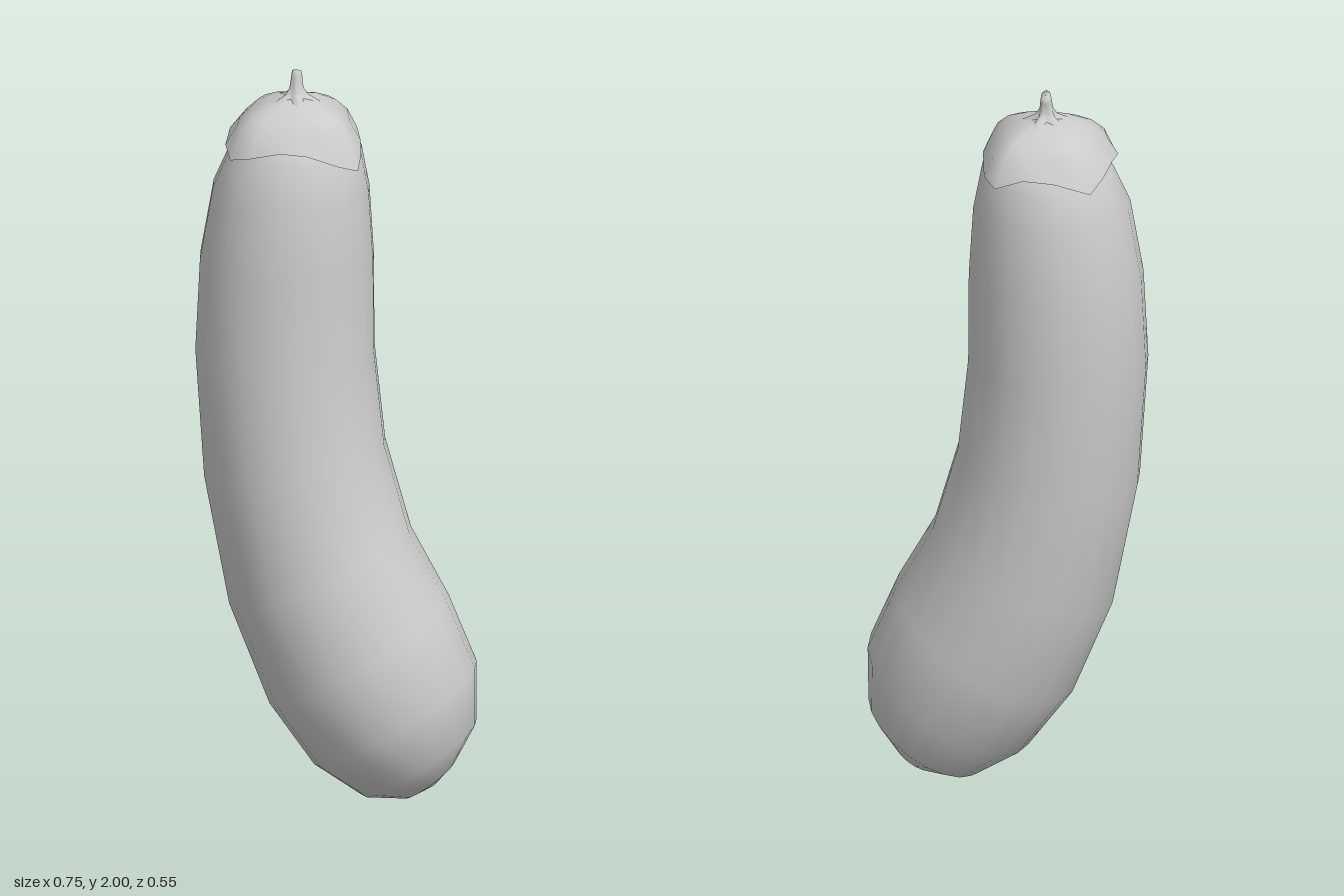
import * as THREE from 'three';

const material = new THREE.MeshStandardMaterial({ color: 0xcccccc, side: THREE.DoubleSide });

// Smooth closed skin over rings of points, listed from top to bottom
function loft(name, rings) {
  const n = rings[0].length;
  const index = [];
  for (let i = 0; i < rings.length - 1; i++) {
    for (let j = 0; j < n; j++) {
      const k = (j + 1) % n;
      const a = i * n + j, b = i * n + k, c = a + n, d = b + n;
      index.push(a, b, c, b, d, c);
    }
  }
  const geometry = new THREE.BufferGeometry();
  geometry.setAttribute('position', new THREE.Float32BufferAttribute(rings.flat(2), 3));
  geometry.setIndex(index);
  geometry.computeVertexNormals();
  const mesh = new THREE.Mesh(geometry, material);
  mesh.name = name;
  return mesh;
}

// Ring of n points built by a rule of the angle
const ring = (n, rule) => Array.from({ length: n }, (_, j) => rule((j / n) * Math.PI * 2));

// Curved fruit: each slice is tilted, given by its left and right ends, z centre and z radius
function createBody() {
  const slices = [
    [-0.115, 1.9, -0.105, 1.9, -0.04, 0.005],
    [-0.21, 1.87, -0.01, 1.87, -0.042, 0.1],
    [-0.255, 1.825, 0.035, 1.825, -0.042, 0.145],
    [-0.287, 1.78, 0.063, 1.78, -0.04, 0.175],
    [-0.33, 1.68, 0.085, 1.67, -0.033, 0.207],
    [-0.365, 1.48, 0.097, 1.48, -0.032, 0.225],
    [-0.376, 1.23, 0.1, 1.23, -0.025, 0.233],
    [-0.35, 0.88, 0.13, 0.97, -0.015, 0.242],
    [-0.28, 0.53, 0.2, 0.73, -0.005, 0.26],
    [-0.17, 0.26, 0.3, 0.55, 0, 0.275],
    [-0.05, 0.095, 0.376, 0.37, 0, 0.257],
    [0.08, 0.01, 0.376, 0.21, 0, 0.185],
    [0.19, 0.003, 0.32, 0.1, 0, 0.09],
    [0.262, 0.033, 0.268, 0.037, 0, 0.004],
  ];
  return loft('fruitBody', slices.map(([lx, ly, rx, ry, z, r]) => ring(20, (t) => [
    (lx + rx) / 2 + ((rx - lx) / 2) * Math.cos(t),
    (ly + ry) / 2 + ((ry - ly) / 2) * Math.cos(t),
    z + r * Math.sin(t),
  ])));
}

// Leafy cap: a thin dome running out to a rim with four drooping corners
function createCap() {
  const rim = [
    [0.06, 1.81, -0.05], [0.073, 1.79, 0.01], [0.075, 1.763, 0.065], [0.03, 1.785, 0.105],
    [-0.05, 1.815, 0.125], [-0.12, 1.82, 0.13], [-0.205, 1.8, 0.13], [-0.26, 1.785, 0.105],
    [-0.285, 1.805, 0.04], [-0.29, 1.82, -0.05], [-0.285, 1.805, -0.125], [-0.265, 1.78, -0.185],
    [-0.17, 1.81, -0.21], [-0.09, 1.815, -0.22], [-0.015, 1.785, -0.22], [0.025, 1.8, -0.18],
  ];
  const dome = [[0.03, 1.928], [0.2, 1.921], [0.42, 1.91], [0.65, 1.889], [0.84, 1.855]];
  const rings = dome.map(([f, y]) => rim.map(([x, , z]) => [
    -0.11 + (x + 0.11) * f, y, -0.04 + (z + 0.04) * f,
  ]));
  return loft('cap', [...rings, rim]);
}

// Short stem with a ridged, flared foot and a slanted tip: y, radius, ridge depth, z, slant
function createStem() {
  const levels = [
    [1.992, 0.001, 0, -0.048, 0], [1.991, 0.013, 0, -0.048, 0.009], [1.975, 0.015, 0, -0.045, 0.004],
    [1.95, 0.018, 0.001, -0.04, 0], [1.932, 0.026, 0.005, -0.04, 0], [1.914, 0.05, 0.015, -0.04, 0],
  ];
  return loft('stem', levels.map(([y, r, ridge, z, slant]) => ring(20, (t) => {
    const radius = r + ridge * Math.cos(5 * t);
    return [-0.11 + radius * Math.cos(t), y + slant * Math.sin(t), z + radius * Math.sin(t)];
  })));
}

export function createModel() {
  const model = new THREE.Group();
  model.name = 'eggplant';
  model.add(createBody(), createCap(), createStem());
  return model;
}
